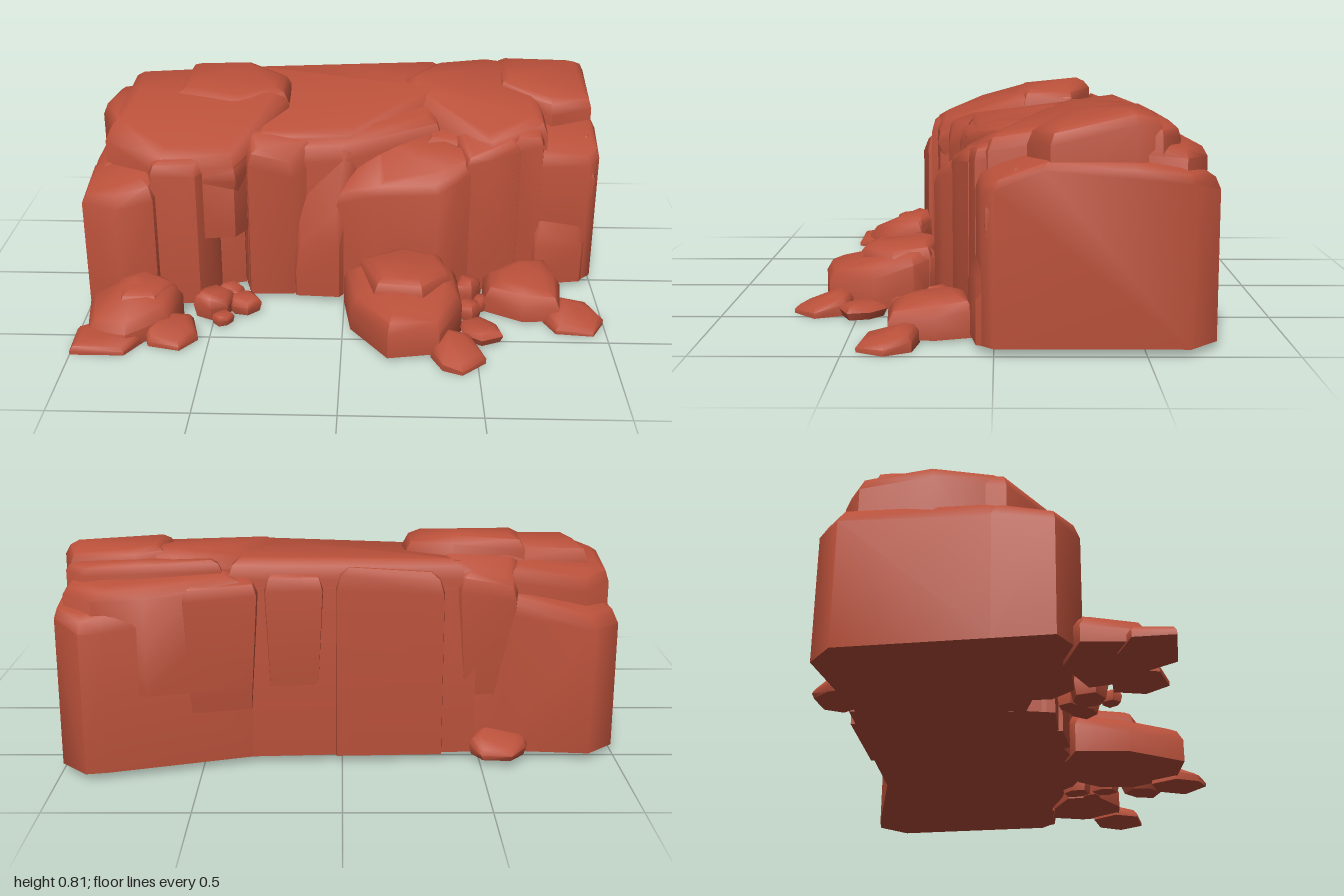
import * as THREE from 'three';
import { ConvexGeometry } from 'three/addons/geometries/ConvexGeometry.js';
import { toCreasedNormals } from 'three/addons/utils/BufferGeometryUtils.js';

const rockMaterial = new THREE.MeshStandardMaterial({ color: 0xb9503a });
rockMaterial.name = 'red rock';

// Stone with a rounded top edge: corners are [x, z, shoulder height, top height]
function stone(name, base, inset, corners, foot = 0) {
  const cx = corners.reduce((s, c) => s + c[0], 0) / corners.length;
  const cz = corners.reduce((s, c) => s + c[1], 0) / corners.length;
  const points = [];
  for (const [x, z, shoulder, top] of corners) {
    const len = Math.hypot(x - cx, z - cz);
    const d = Math.min(inset, len * 0.8);
    const at = (k, y) => new THREE.Vector3(x - (x - cx) / len * k, y, z - (z - cz) / len * k);
    points.push(at(foot, base), at(0, shoulder), at(d * 0.35, shoulder + (top - shoulder) * 0.68), at(d, top));
  }
  const mesh = new THREE.Mesh(toCreasedNormals(new ConvexGeometry(points), 0.85), rockMaterial);
  mesh.name = name;
  return mesh;
}

// Small rounded chip with an uneven six-sided plan
function chip(name, x, z, r, h, base = 0.015) {
  const corners = [];
  for (let i = 0; i < 6; i++) {
    const a = i * Math.PI / 3 + x * 5, k = r * (1 + 0.13 * Math.sin(i * 2.3 + z * 9));
    corners.push([x + k * Math.cos(a), z + k * Math.sin(a), base + (h - base) * 0.5, h * (0.93 + 0.07 * Math.sin(i * 1.7))]);
  }
  return stone(name, base, r * 0.45, corners, r * 0.15);
}

export function createModel() {
  const model = new THREE.Group();
  model.name = 'rockCliff';
  const group = (name, ...parts) => {
    const g = new THREE.Group();
    g.name = name;
    g.add(...parts);
    model.add(g);
  };

  // Main masses of the wall, from left of the front to right
  group('wallMasses',
    stone('westMass', 0.03, 0.08, [
      [-1, -0.46, 0.5, 0.57], [-0.9, -0.55, 0.5, 0.57], [-0.58, -0.52, 0.55, 0.64], [-0.4, -0.5, 0.6, 0.68],
      [-0.4, 0.1, 0.56, 0.64], [-0.55, 0.15, 0.54, 0.62], [-0.96, 0.16, 0.48, 0.56], [-1, 0.06, 0.48, 0.56]]),
    stone('middleMass', 0.03, 0.07, [
      [-0.48, -0.53, 0.64, 0.74], [0, -0.55, 0.66, 0.755], [0.38, -0.58, 0.66, 0.755],
      [0.38, -0.02, 0.62, 0.7], [0, 0.13, 0.58, 0.66], [-0.38, 0.17, 0.57, 0.65]]),
    stone('eastMass', 0.03, 0.05, [
      [0.3, -0.57, 0.58, 0.69], [0.82, -0.725, 0.54, 0.6], [0.9, -0.74, 0.54, 0.6], [1, -0.64, 0.57, 0.62],
      [1, -0.46, 0.615, 0.65], [1, -0.16, 0.615, 0.65], [1, 0.0, 0.55, 0.6], [0.96, 0.04, 0.53, 0.58],
      [0.7, 0.07, 0.53, 0.6], [0.3, 0.05, 0.56, 0.64]]));

  // Weathered slabs that crown the wall
  group('crown',
    stone('westCap', 0.3, 0.07, [
      [-0.9, -0.37, 0.7, 0.78], [-0.6, -0.41, 0.72, 0.79], [-0.38, -0.4, 0.72, 0.785], [-0.22, -0.32, 0.7, 0.775],
      [-0.22, -0.1, 0.69, 0.765], [-0.34, 0.06, 0.65, 0.72], [-0.42, 0.24, 0.59, 0.66],
      [-0.7, 0.28, 0.58, 0.66], [-0.93, 0.1, 0.64, 0.71], [-0.9, -0.15, 0.7, 0.77]]),
    stone('westPeak', 0.6, 0.07, [
      [-0.66, -0.4, 0.76, 0.81], [-0.4, -0.4, 0.78, 0.82], [-0.23, -0.32, 0.73, 0.79],
      [-0.23, -0.12, 0.72, 0.785], [-0.42, -0.02, 0.7, 0.765], [-0.7, -0.1, 0.71, 0.785]]),
    stone('westShoulder', 0.3, 0.05, [
      [-0.97, -0.4, 0.64, 0.7], [-0.88, -0.47, 0.62, 0.69], [-0.6, -0.49, 0.66, 0.72],
      [-0.6, 0.05, 0.66, 0.72], [-0.9, 0.1, 0.64, 0.71], [-0.985, -0.14, 0.66, 0.72]]),
    stone('middleCap', 0.4, 0.06, [
      [-0.44, -0.53, 0.68, 0.75], [0, -0.55, 0.69, 0.76], [0.4, -0.58, 0.69, 0.765], [0.4, -0.2, 0.71, 0.765],
      [0.24, -0.06, 0.66, 0.725], [0.02, 0.09, 0.62, 0.68], [-0.36, 0.12, 0.62, 0.68]]),
    stone('eastCap', 0.3, 0.07, [
      [0.21, -0.3, 0.72, 0.785], [0.36, -0.53, 0.72, 0.785], [0.6, -0.57, 0.72, 0.79], [0.79, -0.5, 0.72, 0.785],
      [0.79, 0.02, 0.65, 0.715], [0.57, 0.12, 0.6, 0.665], [0.36, -0.05, 0.63, 0.7], [0.21, -0.2, 0.69, 0.76]]),
    stone('eastPeak', 0.45, 0.05, [
      [0.62, -0.52, 0.75, 0.8], [0.72, -0.56, 0.74, 0.79], [0.95, -0.54, 0.75, 0.79], [0.985, -0.46, 0.76, 0.805],
      [0.985, -0.18, 0.69, 0.75], [0.82, -0.11, 0.68, 0.745], [0.62, -0.25, 0.74, 0.79]]),
    stone('eastBackShoulder', 0.3, 0.07, [
      [0.34, -0.6, 0.66, 0.71], [0.68, -0.69, 0.65, 0.695], [0.86, -0.7, 0.645, 0.69],
      [0.97, -0.62, 0.65, 0.69], [0.97, -0.4, 0.67, 0.73], [0.4, -0.4, 0.68, 0.74]]),
    stone('eastBackStep', 0.4, 0.04, [
      [0.42, -0.57, 0.72, 0.76], [0.7, -0.605, 0.72, 0.76], [0.9, -0.605, 0.71, 0.75], [0.97, -0.54, 0.72, 0.75],
      [0.9, -0.35, 0.72, 0.75], [0.45, -0.35, 0.72, 0.75]]));

  // Buttresses and split columns on the front face
  group('frontColumns',
    stone('westCorner', 0.03, 0.06, [
      [-1, 0.06, 0.49, 0.54], [-1, 0.27, 0.45, 0.51], [-0.86, 0.34, 0.45, 0.53],
      [-0.72, 0.31, 0.48, 0.56], [-0.65, 0.08, 0.54, 0.6]]),
    stone('westColumn', 0.03, 0.05, [
      [-0.78, 0.1, 0.59, 0.64], [-0.73, 0.29, 0.57, 0.63], [-0.56, 0.285, 0.57, 0.63],
      [-0.49, 0.2, 0.58, 0.64], [-0.5, 0.05, 0.6, 0.66]]),
    stone('overhang', 0.32, 0.05, [
      [-0.6, 0.08, 0.58, 0.66], [-0.55, 0.26, 0.54, 0.62], [-0.41, 0.25, 0.54, 0.62], [-0.33, 0.08, 0.6, 0.66]], 0.08),
    stone('westRib', 0.03, 0.05, [
      [-0.41, 0.05, 0.62, 0.68], [-0.37, 0.2, 0.58, 0.65], [-0.2, 0.195, 0.53, 0.62], [-0.1, 0.1, 0.57, 0.65]]),
    stone('middleRib', 0.03, 0.06, [
      [-0.22, 0.06, 0.46, 0.56], [-0.19, 0.21, 0.14, 0.34], [-0.02, 0.22, 0.26, 0.42], [0.06, 0.1, 0.54, 0.62]]),
    stone('frontBlock', 0.03, 0.05, [
      [0.02, 0.06, 0.5, 0.57], [-0.03, 0.19, 0.42, 0.49], [0.12, 0.225, 0.47, 0.525], [0.36, 0.225, 0.48, 0.53],
      [0.44, 0.19, 0.52, 0.56], [0.55, 0.1, 0.56, 0.6], [0.34, -0.06, 0.6, 0.64], [0.1, -0.02, 0.56, 0.62]]),
    stone('eastRib', 0.03, 0.04, [
      [0.42, 0, 0.6, 0.65], [0.47, 0.155, 0.57, 0.61], [0.57, 0.135, 0.59, 0.63], [0.68, 0.09, 0.6, 0.65], [0.7, 0, 0.62, 0.67]]),
    stone('eastColumn', 0.03, 0.04, [
      [0.64, -0.02, 0.62, 0.68], [0.65, 0.095, 0.6, 0.66], [0.77, 0.065, 0.62, 0.67], [0.79, -0.05, 0.63, 0.69]]),
    stone('eastLedge', 0.03, 0.06, [
      [0.72, 0, 0.34, 0.42], [0.76, 0.09, 0.2, 0.28], [0.95, 0.06, 0.18, 0.27], [0.99, -0.02, 0.3, 0.38]]),
    stone('eastCorner', 0.3, 0.04, [
      [0.79, -0.04, 0.43, 0.49], [0.86, 0.045, 0.45, 0.5], [0.985, 0.03, 0.47, 0.52], [0.985, -0.1, 0.56, 0.62]], 0.02));

  // Thin fractured plates on the back face
  group('backPlates',
    stone('backPlateWest', 0.25, 0.05, [
      [-0.65, -0.4, 0.68, 0.74], [-0.62, -0.525, 0.6, 0.68], [-0.42, -0.55, 0.64, 0.71], [-0.34, -0.4, 0.7, 0.75]], 0.03),
    stone('backPlateMiddle', 0.03, 0.05, [
      [-0.38, -0.4, 0.68, 0.73], [-0.36, -0.555, 0.63, 0.71], [0.02, -0.572, 0.65, 0.73], [0.06, -0.4, 0.69, 0.74]]),
    stone('backPlateCentre', 0.3, 0.05, [
      [0.04, -0.4, 0.69, 0.74], [0.07, -0.575, 0.65, 0.72], [0.27, -0.59, 0.65, 0.72], [0.32, -0.4, 0.69, 0.74]], 0.02),
    stone('backPlateEast', 0.22, 0.05, [
      [0.28, -0.4, 0.68, 0.73], [0.3, -0.605, 0.64, 0.7], [0.55, -0.665, 0.63, 0.69], [0.6, -0.4, 0.68, 0.73]], 0.03),
    stone('backFootStone', 0.03, 0.04, [
      [-0.68, -0.5, 0.07, 0.1], [-0.67, -0.56, 0.06, 0.09], [-0.61, -0.63, 0.05, 0.08],
      [-0.5, -0.62, 0.05, 0.08], [-0.46, -0.55, 0.07, 0.1], [-0.5, -0.48, 0.09, 0.12]], 0.01));

  // Fallen boulders along the foot of the wall
  group('boulders',
    stone('westBoulder', 0.01, 0.09, [
      [-0.98, 0.34, 0.07, 0.125], [-0.95, 0.54, 0.05, 0.11], [-0.8, 0.59, 0.06, 0.12],
      [-0.65, 0.49, 0.08, 0.15], [-0.62, 0.34, 0.1, 0.165], [-0.8, 0.27, 0.14, 0.185]]),
    stone('westBoulderRidge', 0.05, 0.05, [
      [-0.88, 0.32, 0.13, 0.17], [-0.84, 0.47, 0.12, 0.165], [-0.7, 0.47, 0.12, 0.165], [-0.64, 0.34, 0.13, 0.17], [-0.77, 0.27, 0.15, 0.185]]),
    stone('westFlatStone', 0.005, 0.04, [
      [-1, 0.5, 0.03, 0.055], [-1, 0.64, 0.02, 0.045], [-0.8, 0.64, 0.02, 0.04], [-0.74, 0.54, 0.03, 0.06], [-0.88, 0.45, 0.04, 0.07]]),
    stone('westSmallStone', 0.01, 0.05, [
      [-0.75, 0.49, 0.05, 0.085], [-0.72, 0.58, 0.03, 0.06], [-0.6, 0.61, 0.025, 0.05],
      [-0.54, 0.53, 0.03, 0.06], [-0.57, 0.42, 0.04, 0.075], [-0.66, 0.42, 0.05, 0.085]]),
    stone('largeBoulder', 0.02, 0.07, [
      [0.0, 0.24, 0.13, 0.19], [0.03, 0.45, 0.1, 0.175], [0.17, 0.655, 0.11, 0.17], [0.36, 0.62, 0.1, 0.165],
      [0.45, 0.45, 0.13, 0.195], [0.43, 0.3, 0.18, 0.23], [0.36, 0.22, 0.2, 0.245], [0.12, 0.19, 0.19, 0.235]]),
    stone('largeBoulderRidge', 0.05, 0.05, [
      [0.06, 0.25, 0.19, 0.235], [0.12, 0.46, 0.18, 0.235], [0.3, 0.5, 0.19, 0.24],
      [0.41, 0.38, 0.2, 0.24], [0.38, 0.24, 0.21, 0.25], [0.22, 0.2, 0.22, 0.26]]),
    stone('frontFlatStone', 0.005, 0.06, [
      [0.33, 0.62, 0.04, 0.07], [0.37, 0.71, 0.03, 0.05], [0.44, 0.74, 0.02, 0.045],
      [0.53, 0.655, 0.025, 0.05], [0.48, 0.54, 0.05, 0.08], [0.38, 0.52, 0.06, 0.09]]),
    stone('eastBoulder', 0.015, 0.07, [
      [0.55, 0.16, 0.09, 0.14], [0.55, 0.29, 0.08, 0.135], [0.69, 0.37, 0.08, 0.14], [0.83, 0.36, 0.07, 0.125],
      [0.85, 0.2, 0.09, 0.145], [0.81, 0.07, 0.11, 0.155], [0.68, 0.09, 0.13, 0.165]]),
    stone('eastFlatStone', 0.005, 0.06, [
      [0.77, 0.35, 0.03, 0.06], [0.81, 0.44, 0.02, 0.05], [0.95, 0.455, 0.02, 0.045],
      [1, 0.36, 0.025, 0.055], [0.95, 0.27, 0.04, 0.07], [0.83, 0.25, 0.05, 0.08]]));

  // Loose chips: x, z, radius, height
  const chips = [
    [-0.5, 0.33, 0.075, 0.12], [-0.39, 0.3, 0.065, 0.085], [-0.46, 0.405, 0.04, 0.06], [-0.44, 0.26, 0.05, 0.11],
    [0.52, 0.48, 0.085, 0.07], [0.49, 0.2, 0.06, 0.12], [0.485, 0.32, 0.055, 0.08], [0.54, 0.26, 0.04, 0.07]];
  group('looseChips', ...chips.map((c, i) => chip('chip' + (i + 1), ...c)));
  return model;
}
